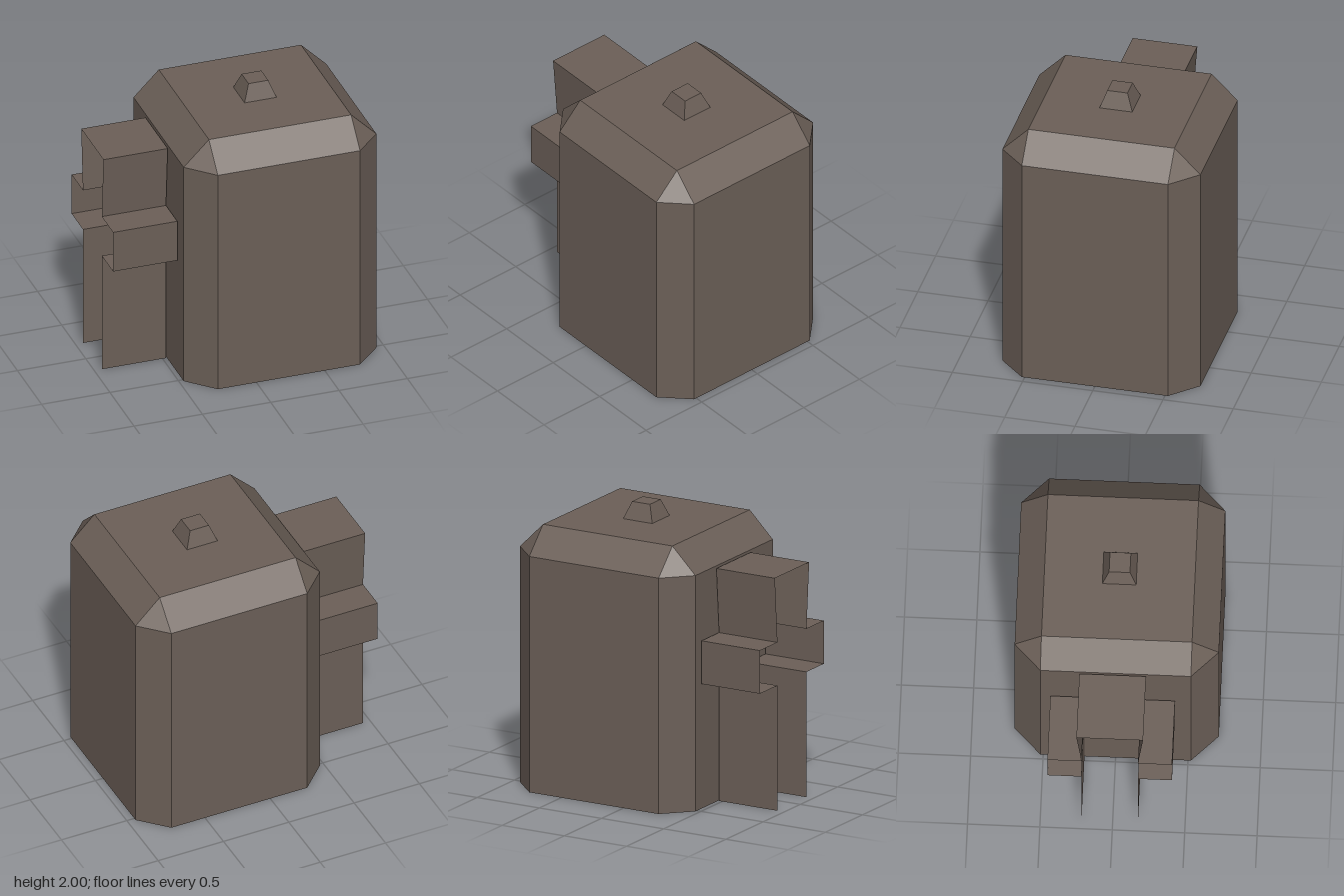
import * as THREE from 'three';

// Flat-faced skin between successive rings of points, with an optional cap on the last ring.
function loft(rings, { closed = true, cap = false } = {}) {
  const pos = [];
  const tri = (a, b, c) => {
    const area = new THREE.Triangle(a, b, c).getArea();
    if (area > 1e-6) for (const p of [a, b, c]) pos.push(p.x, p.y, p.z);
  };
  for (let r = 0; r < rings.length - 1; r++) {
    const low = rings[r], high = rings[r + 1], n = low.length;
    for (let i = 0; i < (closed ? n : n - 1); i++) {
      const j = (i + 1) % n;
      tri(low[i], low[j], high[j]);
      tri(low[i], high[j], high[i]);
    }
  }
  if (cap) {
    const top = rings[rings.length - 1];
    for (let i = 1; i < top.length - 1; i++) tri(top[0], top[i], top[i + 1]);
  }
  const g = new THREE.BufferGeometry();
  g.setAttribute('position', new THREE.Float32BufferAttribute(pos, 3));
  g.computeVertexNormals();
  return g;
}

// Square ring with cut corners; flat equal to half gives a plain square.
function cutSquare(half, flat, y) {
  return [[half, flat], [half, -flat], [flat, -half], [-flat, -half],
    [-half, -flat], [-half, flat], [-flat, half], [flat, half]]
    .map(([x, z]) => new THREE.Vector3(x, y, z));
}

export function createModel() {
  const model = new THREE.Group();
  const brown = new THREE.MeshStandardMaterial({ color: 0x6b5f57, side: THREE.DoubleSide });
  brown.name = 'dull brown';

  const add = (name, geometry, x = 0) => {
    const mesh = new THREE.Mesh(geometry, brown);
    mesh.name = name;
    mesh.position.x = x;
    model.add(mesh);
  };

  // Hollow body, open underneath, with bevelled shoulders
  const centre = 0.2375;
  add('body', loft([
    cutSquare(0.705, 0.52, 0),
    cutSquare(0.705, 0.52, 1.695),
    cutSquare(0.52, 0.52, 1.88),
  ], { cap: true }), centre);

  // Tapered knob on top
  add('knob', loft([
    cutSquare(0.117, 0.117, 1.88),
    cutSquare(0.072, 0.072, 2),
  ], { cap: true }), centre);

  // Cross-shaped porch: thin walls, open at the end and underneath
  const profile = [[0.175, 0], [0.175, 0.9], [0.41, 0.9], [0.41, 1.21], [0.175, 1.21],
    [0.21, 1.68], [-0.25, 1.68], [-0.215, 1.21], [-0.45, 1.21], [-0.45, 0.9],
    [-0.215, 0.9], [-0.215, 0]];
  add('crossPorch', loft(
    [-0.475, -0.945].map((x) => profile.map(([z, y]) => new THREE.Vector3(x, y, z))),
    { closed: false },
  ));

  return model;
}
